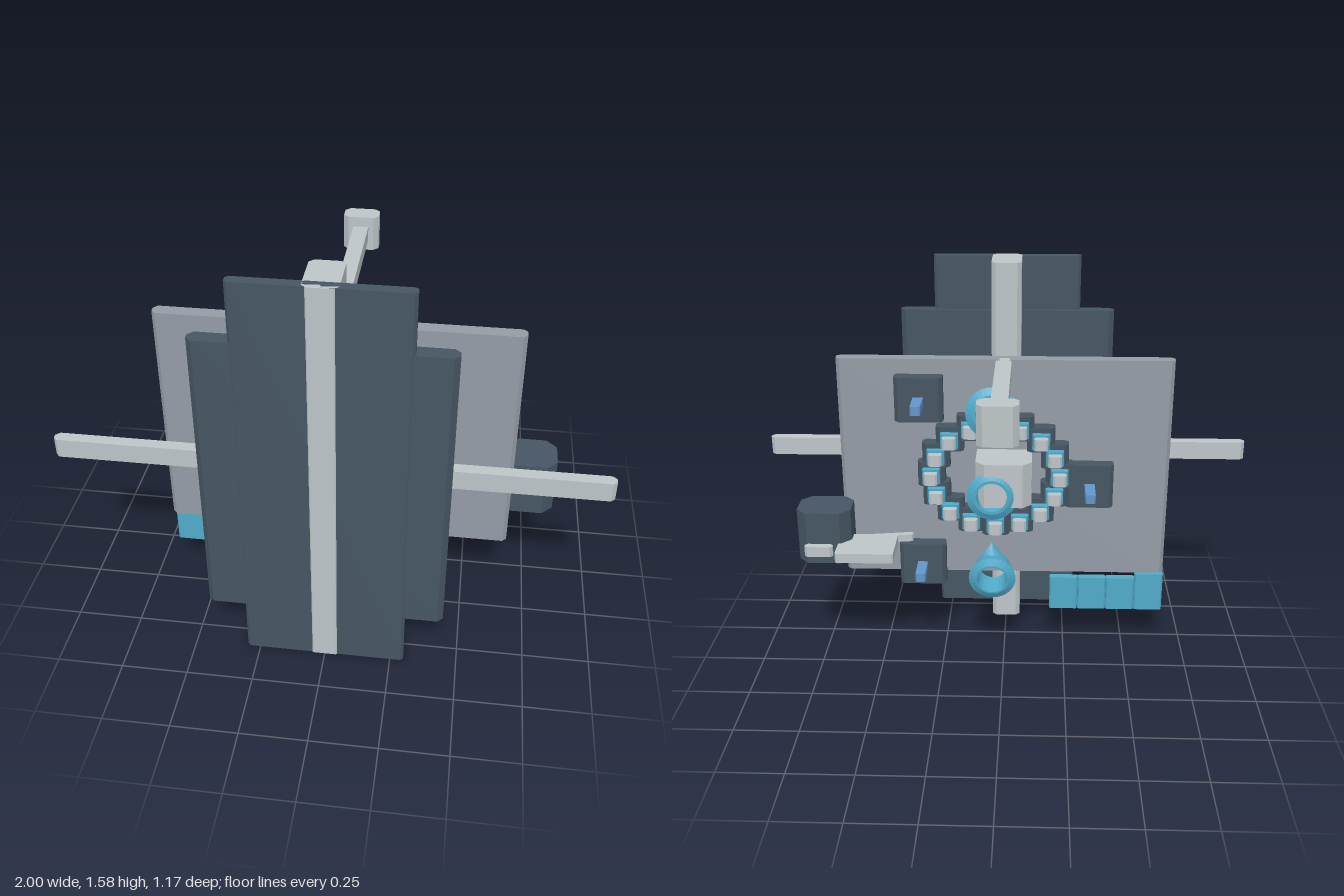
import * as THREE from 'three';

const flat = (name, color) => Object.assign(new THREE.MeshStandardMaterial({ color }), { name });

export function createModel() {
  const root = new THREE.Group();
  root.name = 'spaceStation';
  const navy = flat('navy', 0x465663);
  const grey = flat('grey', 0x959ca6);
  const light = flat('paleGrey', 0xbdc5c8);
  const teal = flat('teal', 0x50abca);
  const blue = flat('blue', 0x6497cb);
  teal.side = THREE.DoubleSide;

  // Block with corners chamfered in plan, extruded upwards
  function block(name, mat, [x0, x1], [y0, y1], [z0, z1], c = 0.015) {
    const w = (x1 - x0) / 2, d = (z1 - z0) / 2;
    const s = new THREE.Shape([
      [-w + c, -d], [w - c, -d], [w, -d + c], [w, d - c],
      [w - c, d], [-w + c, d], [-w, d - c], [-w, -d + c],
    ].map(p => new THREE.Vector2(...p)));
    const g = new THREE.ExtrudeGeometry(s, { depth: y1 - y0, bevelEnabled: false });
    g.rotateX(-Math.PI / 2);
    const m = new THREE.Mesh(g, mat);
    m.position.set((x0 + x1) / 2, y0, (z0 + z1) / 2);
    m.name = name;
    root.add(m);
    return m;
  }
  const around = (c, w) => [c - w / 2, c + w / 2];

  // Stepped shield, mast and crossbar
  block('wideShield', navy, [-0.44, 0.44], [0.22, 1.36], [0.525, 0.583], 0.02);
  block('tallShield', navy, [-0.3, 0.3], [0, 1.58], [0.545, 0.585], 0.01);
  block('mast', light, [-0.06, 0.06], [0, 1.58], [0.4, 0.589], 0.017);
  block('crossbar', light, [-1, 1], [0.755, 0.83], [0.42, 0.465]);
  block('coreBeam', light, [-0.11, 0.11], [0.7, 0.88], [0.01, 0.53], 0.035);

  // Main plate with the cross-shaped backing and round collar
  block('mainPlate', grey, [-0.66, 0.66], [0.335, 1.25], [0.183, 0.236]);
  block('backingWide', grey, [-0.28, 0.35], [0.63, 0.97], [0.253, 0.287], 0.012);
  block('backingTall', grey, [-0.2, 0.27], [0.55, 1.04], [0.254, 0.286], 0.012);
  const collar = new THREE.Mesh(new THREE.CylinderGeometry(0.22, 0.22, 0.03, 32).rotateX(Math.PI / 2), navy);
  collar.scale.x = 1.12;
  collar.position.set(0.04, 0.795, 0.243);
  collar.name = 'collar';
  root.add(collar);

  // Three equipment modules, each with a peg
  for (const [x, y] of [[0.335, 1.1], [0.335, 0.39], [-0.34, 0.745]]) {
    block('module', navy, around(x, 0.19), around(y, 0.18), [0.125, 0.19]);
    block('peg', blue, around(x, 0.04), around(y - 0.005, 0.036), [0.01, 0.13], 0.006);
  }

  // Oval ring of stacked cells
  const count = 16;
  for (let i = 0; i < count; i++) {
    const a = (i / count) * Math.PI * 2;
    const x = 0.035 + 0.255 * Math.cos(a), y = 0.79 + 0.212 * Math.sin(a);
    block('cellBase', navy, around(x, 0.11), around(y, 0.1), [0.125, 0.186]);
    block('cellBody', teal, around(x, 0.07), around(y, 0.062), [0.097, 0.127], 0.008);
    block('cellCap', light, around(x, 0.054), around(y, 0.046), [0.065, 0.098], 0.008);
  }

  // Flared docking rings
  function dockingRing(y, depth, r, tilt) {
    const pts = [[0.06, 0], [r - 0.028, 0], [r, 0.014], [r - 0.005, 0.03],
      [r - 0.025, depth], [0.055, depth], [0.06, 0]];
    const g = new THREE.LatheGeometry(pts.map(p => new THREE.Vector2(...p)), 28).toNonIndexed();
    g.rotateX(Math.PI / 2);
    g.computeVertexNormals();
    const m = new THREE.Mesh(g, teal);
    m.position.set(0.045, y, 0.003);
    m.rotation.x = tilt;
    m.name = 'dockingRing';
    root.add(m);
  }
  dockingRing(1.09, 0.065, 0.1, 0.1);
  dockingRing(0.745, 0.048, 0.1, 0);
  dockingRing(0.385, 0.1, 0.095, -0.12);

  // Pointed bracket above the lowest docking ring
  const tip = new THREE.Mesh(new THREE.ConeGeometry(0.045, 0.06, 4), teal);
  tip.position.set(0.045, 0.49, 0.075);
  tip.name = 'ringBracket';
  root.add(tip);

  // Long boom with end box
  block('boomRoot', light, [-0.02, 0.02], [1.222, 1.255], [0.06, 0.19], 0.005);
  block('boom', light, [-0.03, 0.03], [1.222, 1.28], [-0.51, 0.07], 0.006);
  block('boomHead', light, [-0.07, 0.07], [1.18, 1.32], [-0.585, -0.5], 0.02);

  // Side tank, tray and strut
  block('sideTank', navy, [0.61, 0.825], [0.447, 0.665], [0.01, 0.185], 0.04);
  block('tray', light, [0.43, 0.66], [0.495, 0.535], [-0.08, 0.1], 0.006);
  block('trayArm', light, [0.66, 0.77], [0.535, 0.577], [-0.11, -0.08], 0.01);
  const strut = block('strut', light, [0.37, 0.63], [0.5, 0.53], [0.095, 0.12], 0.006);
  strut.rotation.y = 0.15;

  // Row of hanging panels
  for (let i = 0; i < 4; i++) {
    const x = -0.66 + i * 0.118;
    block('hangingPanel', teal, [x, x + 0.117], [0.17, i ? 0.315 : 0.336], [0.165, 0.197], 0.006);
  }
  return root;
}
